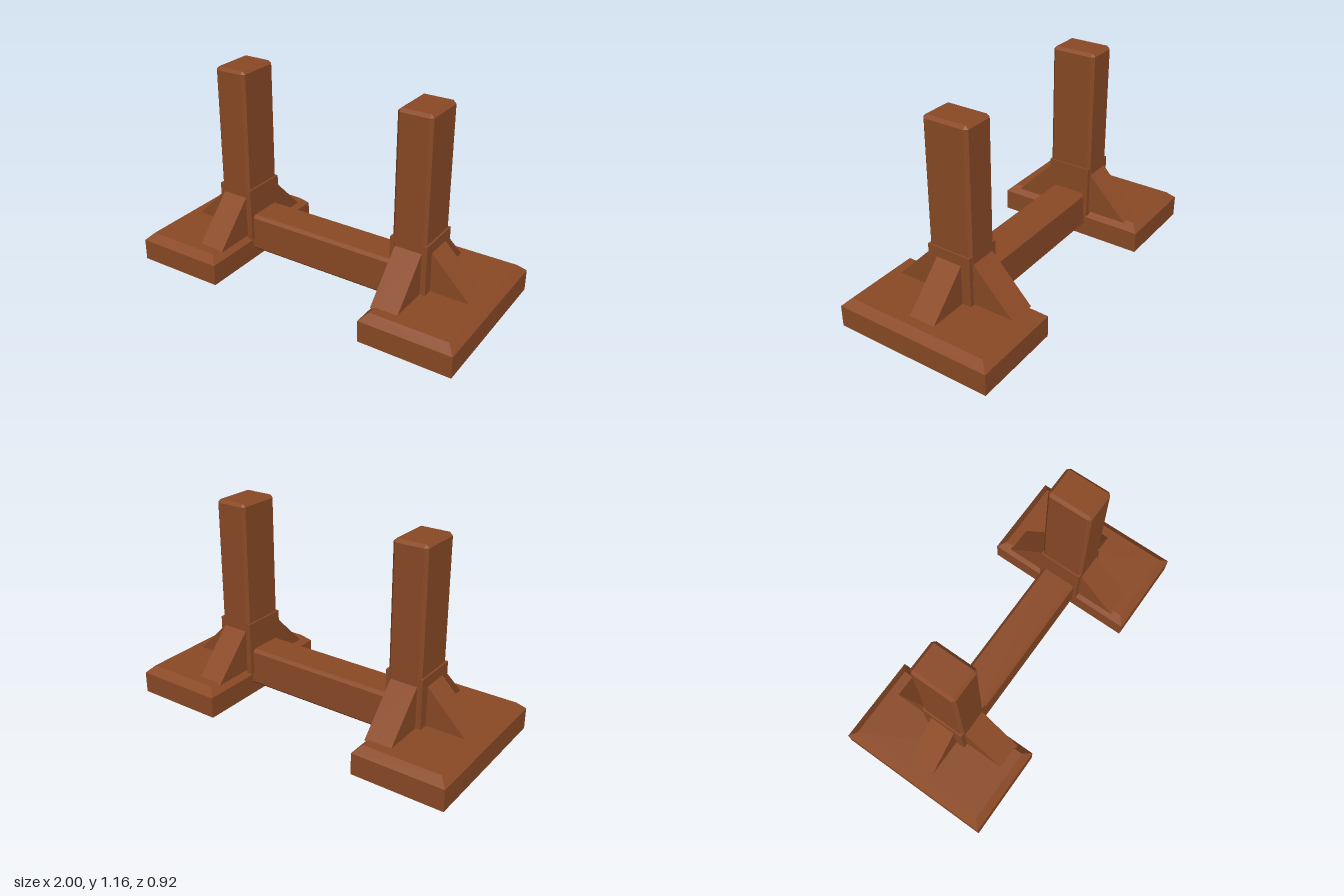
import * as THREE from 'three';
import { ConvexGeometry } from 'three/addons/geometries/ConvexGeometry.js';

const wood = new THREE.MeshStandardMaterial({ color: 0x8b4a26, flatShading: true });

function part(name, geometry, x = 0, y = 0, z = 0) {
  const mesh = new THREE.Mesh(geometry, wood);
  mesh.name = name;
  mesh.position.set(x, y, z);
  return mesh;
}

// Box with every edge chamfered by c
function chamferBox(w, h, d, c) {
  const points = [];
  for (const sx of [-1, 1]) for (const sy of [-1, 1]) for (const sz of [-1, 1]) {
    const x = w / 2, y = h / 2, z = d / 2;
    points.push(
      new THREE.Vector3(sx * x, sy * (y - c), sz * (z - c)),
      new THREE.Vector3(sx * (x - c), sy * y, sz * (z - c)),
      new THREE.Vector3(sx * (x - c), sy * (y - c), sz * z));
  }
  return new ConvexGeometry(points);
}

// Square-edged slab whose top edge slopes inwards
function slab(w, d, side, top, inset) {
  const points = [];
  for (const sx of [-1, 1]) for (const sz of [-1, 1]) {
    for (const [y, i] of [[0, 0], [side, 0], [top, inset]]) {
      points.push(new THREE.Vector3(sx * (w / 2 - i), y, sz * (d / 2 - i)));
    }
  }
  return new ConvexGeometry(points);
}

// Triangular brace sloping down towards +x, centred on its thickness
function brace(run, rise, thickness) {
  const shape = new THREE.Shape();
  shape.moveTo(0, 0);
  shape.lineTo(run, 0);
  shape.lineTo(0, rise);
  shape.closePath();
  const geometry = new THREE.ExtrudeGeometry(shape, { depth: thickness, bevelEnabled: false });
  return geometry.translate(0, 0, -thickness / 2);
}

export function createModel() {
  const model = new THREE.Group();
  model.name = 'woodenStand';

  for (const side of [-1, 1]) {
    const support = new THREE.Group();
    support.name = side > 0 ? 'leftSupport' : 'rightSupport';
    const postX = side * 0.567;

    // Foot, upright post and the collar round its bottom
    support.add(part('foot', slab(0.53, 0.924, 0.125, 0.167, 0.043), side * 0.735));
    support.add(part('post', chamferBox(0.196, 1.062, 0.266, 0.017), postX, 0.631));
    support.add(part('collar', new THREE.BoxGeometry(0.216, 0.315, 0.262), postX, 0.2975));

    // Outer brace and the front and back braces
    const outer = part('outerBrace', brace(0.25, 0.253, 0.154), side * 0.658, 0.16);
    outer.rotation.y = side > 0 ? 0 : Math.PI;
    support.add(outer);
    for (const end of [-1, 1]) {
      const mesh = part(end > 0 ? 'frontBrace' : 'backBrace',
        brace(0.243, 0.253, 0.156), postX, 0.16, end * 0.128);
      mesh.rotation.y = -end * Math.PI / 2;
      support.add(mesh);
    }
    model.add(support);
  }

  // Beam joining both supports
  model.add(part('crossbeam', chamferBox(1.0, 0.226, 0.216, 0.017), 0, 0.177));
  return model;
}
